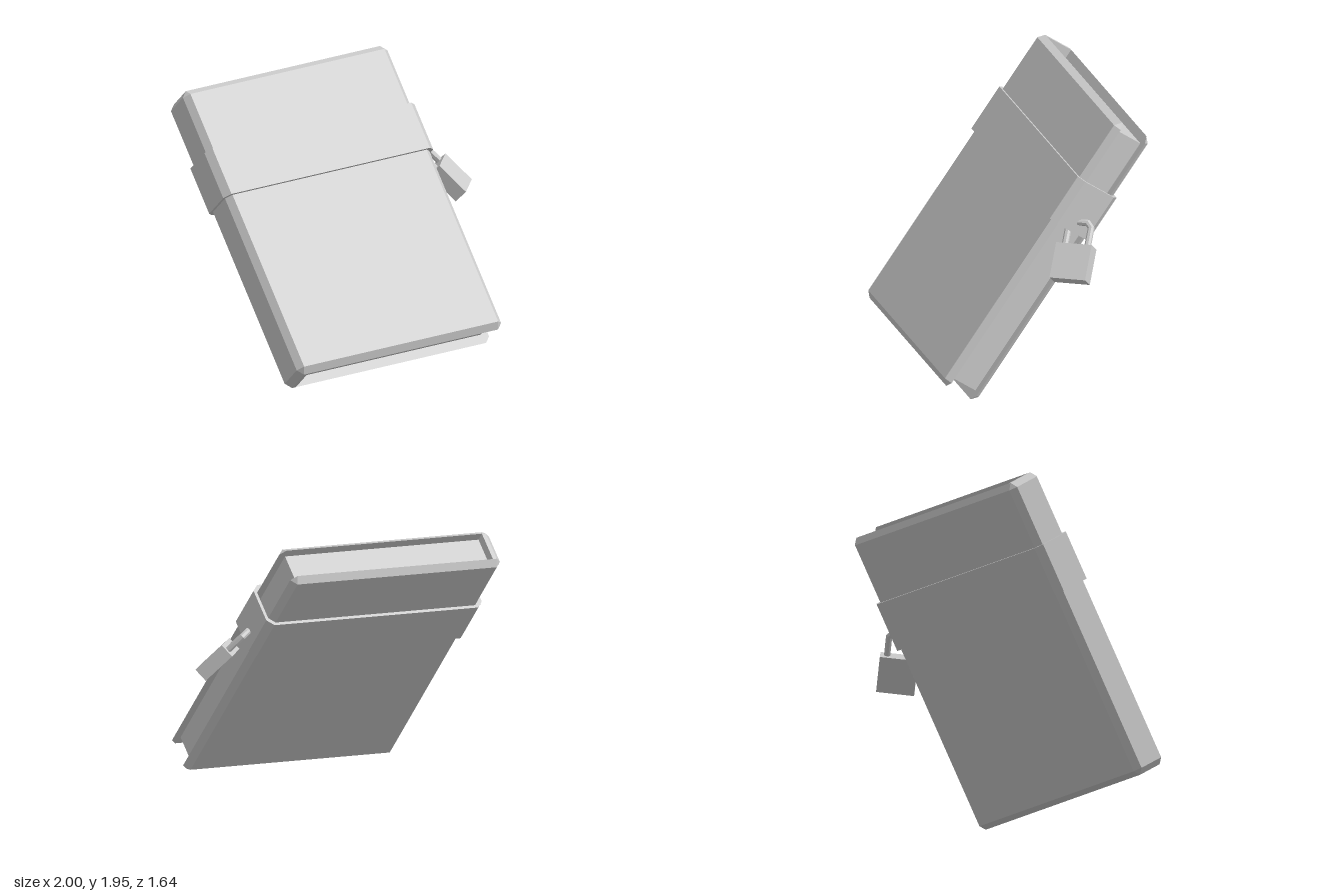
import * as THREE from 'three';
import { ConvexGeometry } from 'three/addons/geometries/ConvexGeometry.js';

const V = (x, y, z) => new THREE.Vector3(x, y, z);
const material = new THREE.MeshStandardMaterial({ color: 0xcccccc, flatShading: true, side: THREE.DoubleSide });

function addMesh(parent, geometry, name) {
  const mesh = new THREE.Mesh(geometry, material);
  mesh.name = name;
  parent.add(mesh);
  return mesh;
}

// Book extents in its own frame: x across, y along the spine, z through the covers
const X0 = -0.895, X1 = 0.716, Y0 = -0.29, Y1 = 1.854, Z0 = 0.46, Z1 = 0.755;
const C = 0.041; // bevel, also the cover thickness

// Cover: octagonal rim tapering to a smaller rectangular outer face
function coverGeometry(rimZ, faceZ) {
  const points = [];
  for (const [x, sx] of [[X0, 1], [X1, -1]]) {
    for (const [y, sy] of [[Y0, 1], [Y1, -1]]) {
      points.push(V(x + sx * C, y, rimZ), V(x, y + sy * C, rimZ), V(x + sx * C, y + sy * C, faceZ));
    }
  }
  return new ConvexGeometry(points);
}

// Spine: bevelled at its two ends
function spineGeometry() {
  const points = [];
  for (const z of [Z0 + C, Z1 - C]) {
    for (const [y, s] of [[Y0, 1], [Y1, -1]]) {
      points.push(V(X0, y + s * C, z), V(X0 + C, y, z), V(-0.825, y, z));
    }
  }
  return new ConvexGeometry(points);
}

// Octagonal outline of the closed book seen along the spine, grown by d
function bandOutline(d) {
  const a = X0 - d, b = X1 + d, e = Z0 - d, f = Z1 + d, c = C + d * 0.2;
  return [[a + c, e], [b - c, e], [b, e + c], [b, f - c], [b - c, f], [a + c, f], [a, f - c], [a, e + c]]
    .map(([x, z]) => new THREE.Vector2(x, -z));
}

function buildBook() {
  const book = new THREE.Group();
  book.name = 'book';
  addMesh(book, coverGeometry(Z1 - C, Z1), 'frontCover');
  addMesh(book, coverGeometry(Z0 + C, Z0), 'backCover');
  addMesh(book, spineGeometry(), 'spine');

  // Page block, set in from the cover edges
  const inset = 0.066, px0 = -0.83, px1 = X1 - 0.055;
  const pages = addMesh(book, new THREE.BoxGeometry(px1 - px0, Y1 - Y0 - 2 * inset, Z1 - Z0 - 2 * C), 'pages');
  pages.position.set((px0 + px1) / 2, (Y0 + Y1) / 2, (Z0 + Z1) / 2);

  // Strap around the whole book
  const shape = new THREE.Shape(bandOutline(0.022));
  shape.holes.push(new THREE.Path(bandOutline(0.001)));
  const strap = new THREE.ExtrudeGeometry(shape, { depth: 0.342, bevelEnabled: false });
  strap.rotateX(-Math.PI / 2);
  addMesh(book, strap, 'strap').position.y = 1.05;

  // Lean the book back and turn it slightly
  const up = V(0, 0.794, -0.608).normalize();
  const normal = V(0.9918, 0.077, 0.1012).cross(up).normalize();
  const across = up.clone().cross(normal);
  book.quaternion.setFromRotationMatrix(new THREE.Matrix4().makeBasis(across, up, normal));
  return book;
}

function buildPadlock() {
  const padlock = new THREE.Group();
  padlock.name = 'padlock';
  addMesh(padlock, new THREE.BoxGeometry(0.256, 0.25, 0.1), 'padlockBody');

  // Angular shackle with bevelled edges
  const outer = [[0.102, 0.1], [0.102, 0.265], [0.06, 0.31]];
  const inner = [[0.06, 0.1], [0.06, 0.25], [0.04, 0.27]];
  const mirror = (list) => list.map(([x, y]) => [-x, y]).reverse();
  const outline = [...outer, ...mirror(outer), ...mirror(inner).reverse(), ...[...inner].reverse()];
  const shape = new THREE.Shape(outline.map(([x, y]) => new THREE.Vector2(x, y)));
  const shackle = new THREE.ExtrudeGeometry(shape, {
    depth: 0.018, bevelSize: 0.012, bevelOffset: -0.012, bevelThickness: 0.012, bevelSegments: 1,
  });
  shackle.translate(0, 0, -0.009);
  addMesh(padlock, shackle, 'shackle');

  // Hang it off the open edge of the book
  const across = V(0.719, 0.105, -0.6875).normalize();
  const front = across.clone().cross(V(-0.541, 0.704, -0.455)).normalize();
  const up = front.clone().cross(across);
  padlock.quaternion.setFromRotationMatrix(new THREE.Matrix4().makeBasis(across, up, front));
  padlock.position.set(0.811, 1.107, -0.022);
  return padlock;
}

export function createModel() {
  const model = new THREE.Group();
  model.name = 'lockedBook';
  model.add(buildBook(), buildPadlock());
  return model;
}
